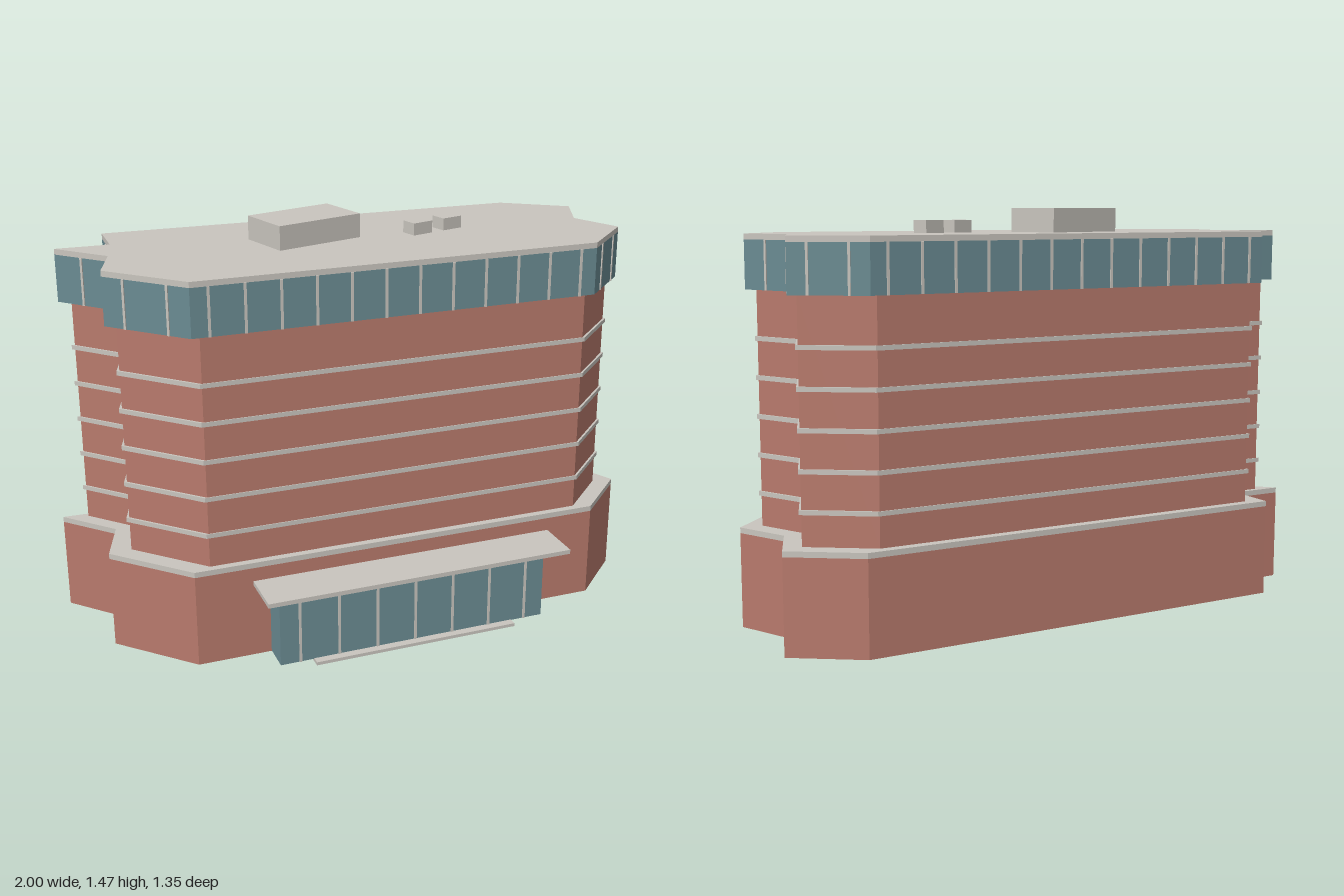
import * as THREE from 'three';

const material = (name, color) => {
  const m = new THREE.MeshStandardMaterial({ color });
  m.name = name;
  return m;
};

// Ground plan corners [x, z]; every storey is a scaled copy
const PLAN = [
  [-1, -0.188], [-0.83, 0.118], [0.65, 0.528], [0.898, 0.393], [0.865, 0.185], [1, 0.016],
  [0.82, -0.203], [-0.755, -0.68], [-0.808, -0.505], [-1, -0.565], [-0.89, -0.355],
];

export function createModel() {
  const brick = material('brick', 0xb87a6c);
  const concrete = material('concrete', 0xc9c5be);
  const glass = material('glass', 0x6a8b92);
  const model = new THREE.Group();
  model.name = 'officeBuilding';

  const add = (parent, name, geometry, mat) => {
    const mesh = new THREE.Mesh(geometry, mat);
    mesh.name = name;
    parent.add(mesh);
    return mesh;
  };

  // Prism of the plan, scaled, between two heights
  const storey = (name, scale, y0, y1, mat) => {
    const shape = new THREE.Shape(PLAN.map(([x, z]) => new THREE.Vector2(x * scale, -z * scale)));
    const geometry = new THREE.ExtrudeGeometry(shape, { depth: y1 - y0, bevelEnabled: false });
    geometry.rotateX(-Math.PI / 2).translate(0, y0, 0);
    return add(model, name, geometry, mat);
  };

  // Box given by its ranges
  const block = (parent, name, [x0, x1], [y0, y1], [z0, z1], mat) => {
    const mesh = add(parent, name, new THREE.BoxGeometry(x1 - x0, y1 - y0, z1 - z0), mat);
    mesh.position.set((x0 + x1) / 2, (y0 + y1) / 2, (z0 + z1) / 2);
    return mesh;
  };

  // Main masses
  storey('podium', 1, 0, 0.34, brick);
  storey('podiumCap', 1, 0.34, 0.36, concrete);
  storey('tower', 0.92, 0.36, 1.19, brick);
  storey('topFloorGlazing', 0.96, 1.19, 1.36, glass);
  storey('roofSlab', 0.96, 1.36, 1.38, concrete);

  // Floor bands around the tower
  for (let i = 0; i < 5; i++) {
    const y = 0.477 + i * 0.136;
    storey('floorBand', 0.93, y - 0.008, y + 0.008, concrete);
  }

  // Mullions centred in the panels of each top floor wall
  const mullions = new THREE.Group();
  mullions.name = 'topFloorMullions';
  model.add(mullions);
  const mullionGeometry = new THREE.BoxGeometry(0.009, 0.17, 0.008);
  PLAN.forEach(([ax, az], i) => {
    const [bx, bz] = PLAN[(i + 1) % PLAN.length];
    const dx = (bx - ax) * 0.96, dz = (bz - az) * 0.96;
    const count = Math.max(1, Math.floor(Math.hypot(dx, dz) / 0.12));
    for (let k = 0; k < count; k++) {
      const t = (k + 0.5) / count;
      const bar = add(mullions, 'mullion', mullionGeometry, concrete);
      bar.position.set(ax * 0.96 + dx * t, 1.275, az * 0.96 + dz * t);
      bar.rotation.y = -Math.atan2(dz, dx);
    }
  });

  // Entrance, aligned with the slanted front wall; local z = 0 is the lobby front
  const entrance = new THREE.Group();
  entrance.name = 'entrance';
  entrance.position.set(-0.12, 0, 0.44);
  entrance.rotation.y = -0.268;
  model.add(entrance);
  block(entrance, 'lobbyGlazing', [-0.508, 0.508], [0.01, 0.288], [-0.108, 0], glass);
  block(entrance, 'canopy', [-0.571, 0.571], [0.289, 0.305], [-0.094, 0.084], concrete);
  block(entrance, 'entranceStep', [-0.385, 0.385], [0, 0.012], [-0.07, 0.03], concrete);
  for (let i = -3; i <= 3; i++) {
    const x = i * 0.145;
    block(entrance, 'lobbyMullion', [x - 0.0045, x + 0.0045], [0.01, 0.288], [-0.004, 0.004], concrete);
  }

  // Rooftop plant
  block(model, 'plantRoom', [-0.343, -0.003], [1.38, 1.466], [-0.262, -0.055], concrete);
  block(model, 'ventBox', [0.167, 0.25], [1.38, 1.424], [-0.022, 0.042], concrete);
  block(model, 'ventBox', [0.303, 0.386], [1.38, 1.424], [-0.022, 0.042], concrete);

  return model;
}
